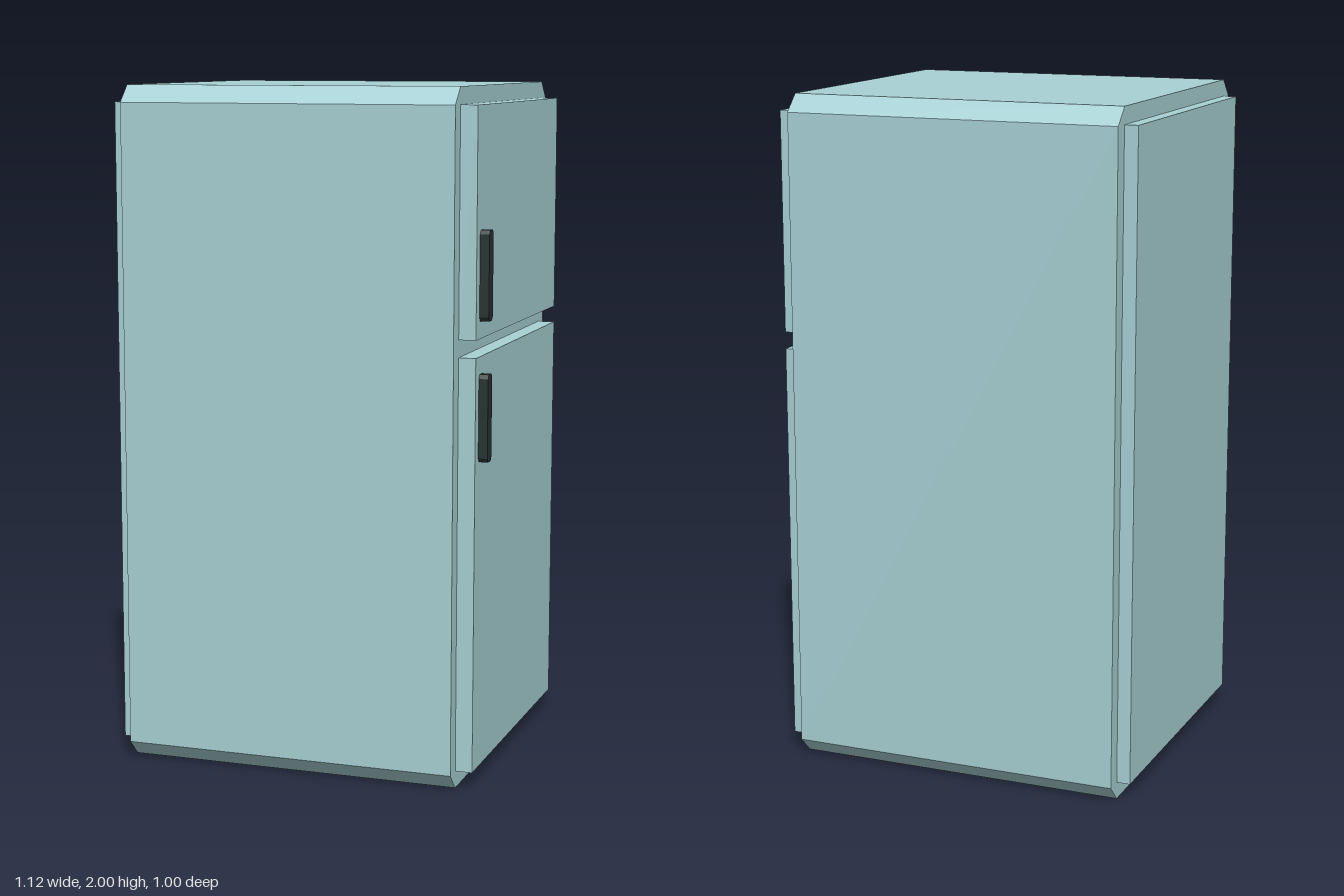
import * as THREE from 'three';

const paint = new THREE.MeshStandardMaterial({ color: 0xa8d1d5 });
paint.name = 'paleTealPaint';
const dark = new THREE.MeshStandardMaterial({ color: 0x273234 });
dark.name = 'darkHandle';

// Slab with cut corners in the z-y plane, extruded along x
function chamferedSlab(name, material, [x0, x1], [y0, y1], [z0, z1], cutZ, cutY) {
  const a = (z1 - z0) / 2, b = (y1 - y0) / 2;
  const shape = new THREE.Shape([
    [a, -b + cutY], [a, b - cutY], [a - cutZ, b], [-a + cutZ, b],
    [-a, b - cutY], [-a, -b + cutY], [-a + cutZ, -b], [a - cutZ, -b],
  ].map(([x, y]) => new THREE.Vector2(x, y)));
  const geometry = new THREE.ExtrudeGeometry(shape, { depth: x1 - x0, bevelEnabled: false });
  geometry.rotateY(Math.PI / 2);
  geometry.translate(x0, (y0 + y1) / 2, (z0 + z1) / 2);
  const mesh = new THREE.Mesh(geometry, material);
  mesh.name = name;
  return mesh;
}

function box(name, material, [x0, x1], [y0, y1], [z0, z1]) {
  const geometry = new THREE.BoxGeometry(x1 - x0, y1 - y0, z1 - z0);
  geometry.translate((x0 + x1) / 2, (y0 + y1) / 2, (z0 + z1) / 2);
  const mesh = new THREE.Mesh(geometry, material);
  mesh.name = name;
  return mesh;
}

export function createModel() {
  const group = new THREE.Group();
  group.name = 'refrigerator';

  // Cabinet and the panel on the side away from the doors
  group.add(chamferedSlab('cabinet', paint, [-0.52, 0.48], [0, 2], [-0.5, 0.5], 0.05, 0.05));
  group.add(box('rearPanel', paint, [-0.56, -0.52], [0.05, 1.95], [-0.45, 0.45]));

  // Two doors, each with a handle
  const doors = [
    { name: 'freezer', y: [1.3, 1.95], handle: [1.35, 1.605] },
    { name: 'fridge', y: [0.05, 1.25], handle: [0.95, 1.2] },
  ];
  for (const { name, y, handle } of doors) {
    group.add(box(name + 'Door', paint, [0.48, 0.53], y, [-0.45, 0.45]));
    group.add(chamferedSlab(name + 'Handle', dark, [0.53, 0.557], handle, [0.375, 0.417], 0.008, 0.012));
  }
  return group;
}
